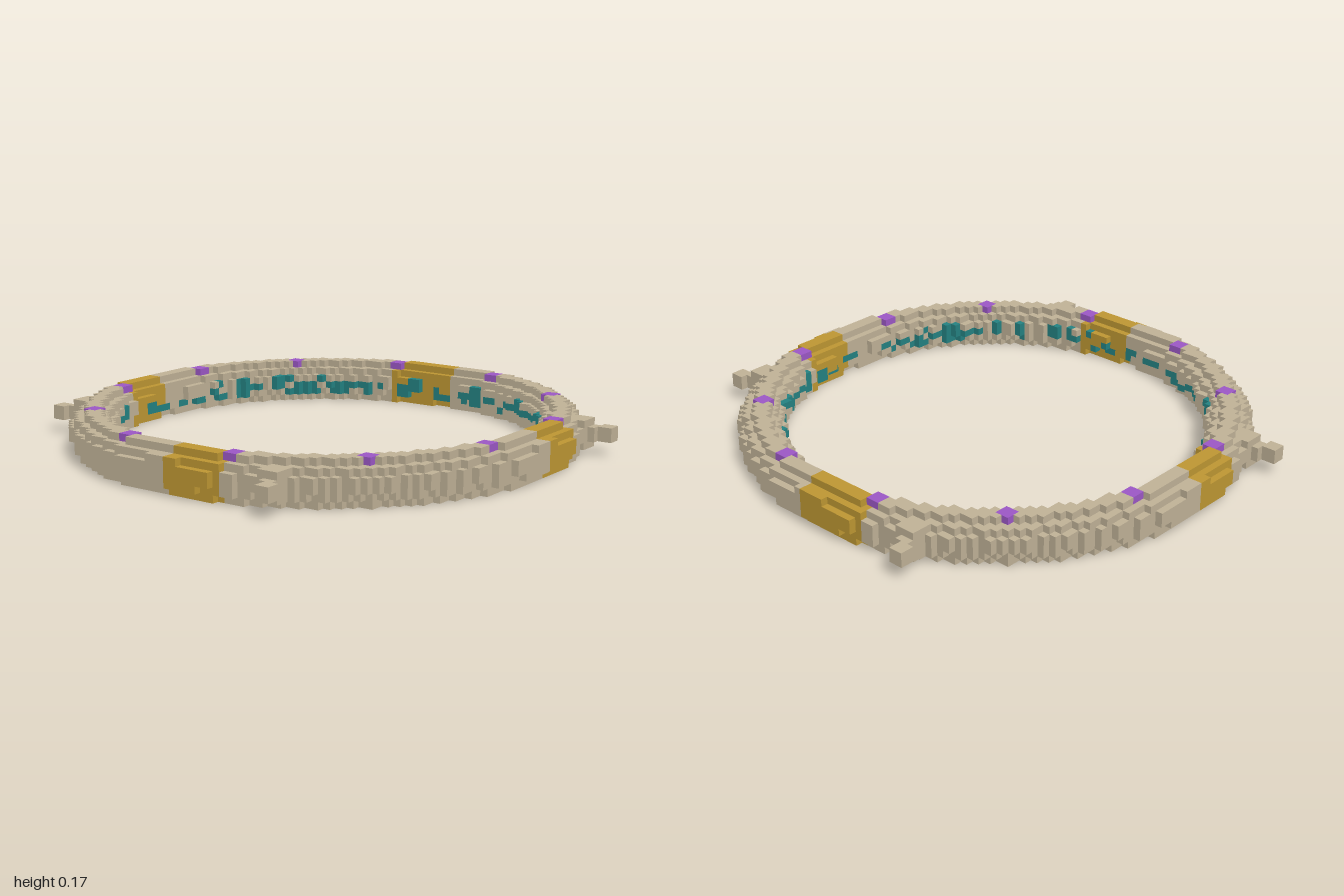
import * as THREE from 'three';

const CELL = 2 / 71; // edge of one block
const LAYERS = 6;
// inner and outer ring radius of each layer, in blocks, bottom to top
const BANDS = [[30.05, 33.95], [29.5, 34.5], [29.2, 34.78], [29.2, 34.78], [29.9, 34.1], [31, 32.95]];

const material = (name, color) => Object.assign(new THREE.MeshStandardMaterial({ color }), { name });

// repeatable value from 0 to 1
function noise(a, b) {
  const s = Math.sin(a * 127.1 + b * 311.7 + 4.2) * 43758.5453;
  return s - Math.floor(s);
}

// turns a cell to the quarter of the ring that lies at the front (z > |x|)
function toFrontQuarter(x, z) {
  let turns = 0;
  while (!(z > 0 && x > -z && x <= z)) {
    [x, z] = [-z, x];
    turns++;
  }
  return [x, z, turns];
}

// docking arm: short diagonal spur, thick at its root
function isArm(x, y, z) {
  const a = 0.443;
  const along = x * Math.sin(a) + z * Math.cos(a);
  const across = Math.abs(x * Math.cos(a) - z * Math.sin(a));
  if (along < 33 || z > 35 || along > 39.2) return false;
  const root = along < 35.8;
  return across < (root ? 1.5 : 0.85) && y >= (root ? 1 : 2) && y <= (root ? 4 : 3);
}

// name of the part that fills a cell, or null when it is empty
function partAt(x, y, z) {
  if (y < 0 || y >= LAYERS) return null;
  const r = Math.hypot(x, z);
  if (r < 28 || r > 40) return null;
  const [t, d, turns] = toFrontQuarter(x, z);
  const [inner, outer] = BANDS[y];
  if (r < inner || r > outer) return isArm(t, y, d) ? 'dockingArms' : null;

  // beacons every 30 degrees on the top layer
  if (y === LAYERS - 1) {
    const step = Math.PI / 6;
    const angle = (Math.floor(Math.atan2(z, x) / step) + 0.5) * step;
    if (Math.hypot(x - 32 * Math.cos(angle), z - 32 * Math.sin(angle)) < 1.2) return 'beacons';
  }
  // windows along the inner wall
  if (r < inner + 0.85 && y >= 1 && y <= 3) {
    const bin = Math.floor(Math.atan2(z, x) * 16);
    if (noise(bin, y) < [0, 0.45, 0.65, 0.22][y]) return 'innerWindows';
  }
  // one gold section per quarter
  if (t >= (turns === 1 ? -1 : 1) && t <= 8) return 'goldSections';
  return 'ringHull';
}

// the six sides of a block: normal and two edge directions (u x v = normal)
const SIDES = [
  [[1, 0, 0], [0, 1, 0], [0, 0, 1]], [[-1, 0, 0], [0, 0, 1], [0, 1, 0]],
  [[0, 1, 0], [0, 0, 1], [1, 0, 0]], [[0, -1, 0], [1, 0, 0], [0, 0, 1]],
  [[0, 0, 1], [1, 0, 0], [0, 1, 0]], [[0, 0, -1], [0, 1, 0], [1, 0, 0]],
];

function addFace(buffer, cell, [n, u, v]) {
  const corner = (a, b) => cell.map((c, i) => (c + (n[i] + a * u[i] + b * v[i]) / 2) * CELL);
  const quad = [corner(-1, -1), corner(1, -1), corner(1, 1), corner(-1, 1)];
  for (const i of [0, 1, 2, 0, 2, 3]) {
    buffer.positions.push(...quad[i]);
    buffer.normals.push(...n);
  }
}

export function createModel() {
  const stone = material('stone', 0xc0b297);
  const materials = {
    ringHull: stone,
    dockingArms: stone,
    goldSections: material('gold', 0xbe9733),
    beacons: material('purple', 0x9c58c6),
    innerWindows: material('teal', 0x248282),
  };
  const buffers = {};
  for (const name in materials) buffers[name] = { positions: [], normals: [] };

  // collect only the exposed block faces of every part
  for (let x = -35; x <= 35; x++) {
    for (let z = -35; z <= 35; z++) {
      for (let y = 0; y < LAYERS; y++) {
        const part = partAt(x, y, z);
        if (!part) continue;
        for (const side of SIDES) {
          const n = side[0];
          if (!partAt(x + n[0], y + n[1], z + n[2])) addFace(buffers[part], [x, y + 0.5, z], side);
        }
      }
    }
  }

  const model = new THREE.Group();
  model.name = 'ringStation';
  for (const name in buffers) {
    const geometry = new THREE.BufferGeometry();
    geometry.setAttribute('position', new THREE.Float32BufferAttribute(buffers[name].positions, 3));
    geometry.setAttribute('normal', new THREE.Float32BufferAttribute(buffers[name].normals, 3));
    const mesh = new THREE.Mesh(geometry, materials[name]);
    mesh.name = name;
    model.add(mesh);
  }
  return model;
}
